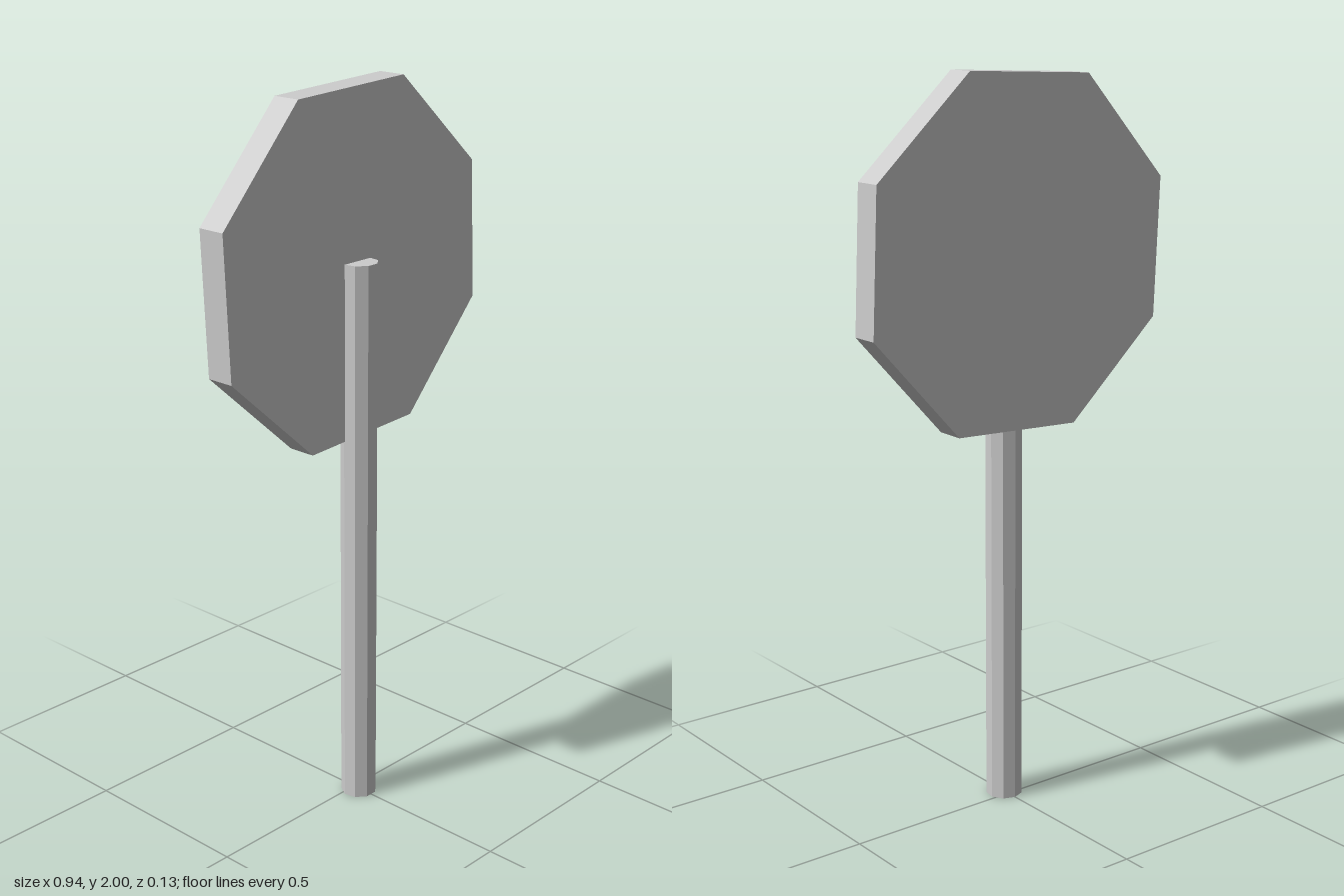
import * as THREE from 'three';

// Faceted prism with its first corner turned by startDeg
function prism(name, radius, length, sides, startDeg) {
  const geometry = new THREE.CylinderGeometry(
    radius, radius, length, sides, 1, false, THREE.MathUtils.degToRad(startDeg));
  const material = new THREE.MeshStandardMaterial({ color: 0xcccccc, flatShading: true });
  const mesh = new THREE.Mesh(geometry, material);
  mesh.name = name;
  return mesh;
}

export function createModel() {
  const group = new THREE.Group();
  group.name = 'roadSign';

  // Nine-sided post with a flat side to the front
  const postHeight = 1.545;
  const post = prism('post', 0.05, postHeight, 9, 20);
  post.position.set(0, postHeight / 2, 0.019);
  group.add(post);

  // Octagonal plate, slightly twisted, standing upright behind the post
  const plate = prism('signPlate', 0.5, 0.08, 8, 25);
  plate.geometry.rotateX(Math.PI / 2);
  plate.position.set(0, 1.53, -0.027);
  group.add(plate);

  return group;
}
